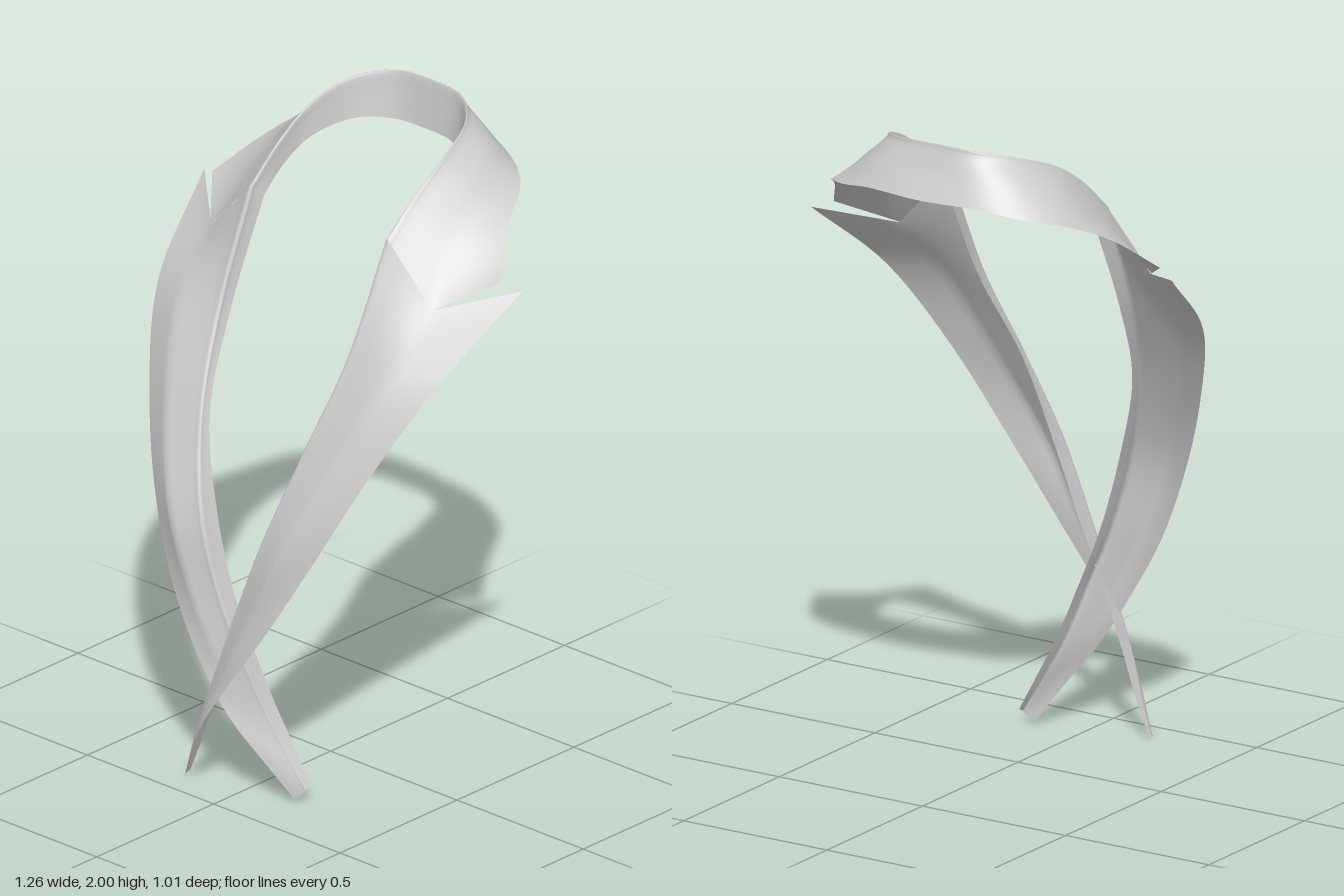
import * as THREE from 'three';

const V = (p, side = 1) => new THREE.Vector3(p[0] * side, p[1], p[2]);

// Cross-section from the hidden stand edge, around the soft fold, across the cloth to the outer edge
function section([stand, fold, mid, outer]) {
  const a = fold.clone().lerp(stand, 0.35);
  const b = fold.clone().lerp(mid, 0.14);
  const control = fold.clone().multiplyScalar(2).sub(a.clone().add(b).multiplyScalar(0.5));
  const roll = new THREE.QuadraticBezierCurve3(a, control, b).getPoints(8);
  const points = [stand, stand.clone().lerp(a, 0.5), ...roll];
  for (let i = 1; i <= 5; i++) points.push(b.clone().lerp(mid, i / 5));
  for (let i = 1; i <= 5; i++) points.push(mid.clone().lerp(outer, i / 5));
  return points;
}

// Cloth sheet lofted along four smooth rails
function cloth(name, rows, steps) {
  const rails = [0, 1, 2, 3].map(k => new THREE.CatmullRomCurve3(rows.map(r => r[k])));
  const positions = [], index = [];
  let n = 0;
  for (let i = 0; i <= steps; i++) {
    const pts = section(rails.map(r => r.getPoint(i / steps)));
    n = pts.length;
    pts.forEach(p => positions.push(p.x, p.y, p.z));
  }
  for (let i = 0; i < steps; i++) {
    for (let j = 0; j < n - 1; j++) {
      const a = i * n + j, b = a + n;
      index.push(a, b, a + 1, b, b + 1, a + 1);
    }
  }
  const g = new THREE.BufferGeometry();
  g.setAttribute('position', new THREE.Float32BufferAttribute(positions, 3));
  g.setIndex(index);
  g.computeVertexNormals();
  const mesh = new THREE.Mesh(g, new THREE.MeshStandardMaterial({ color: 0xcccccc, side: THREE.DoubleSide }));
  mesh.name = name;
  return mesh;
}

// Each row: stand edge, fold line, middle, outer edge
const lapelTop = [
  [[0.255, 1.70, 0.01], [0.27, 1.74, 0.05], [0.44, 1.56, 0.035], [0.63, 1.62, -0.14]],
  [[0.245, 1.40, 0.16], [0.255, 1.40, 0.205], [0.41, 1.38, 0.21], [0.55, 1.38, 0.145]],
  [[0.192, 1.12, 0.31], [0.2, 1.12, 0.34], [0.32, 1.10, 0.36], [0.43, 1.10, 0.31]],
];
const overlapEnd = [
  [[0.12, 0.85, 0.37], [0.125, 0.85, 0.43], [0.22, 0.84, 0.46], [0.315, 0.84, 0.41]],
  [[0.04, 0.62, 0.385], [0.045, 0.62, 0.45], [0.12, 0.61, 0.485], [0.19, 0.60, 0.475]],
  [[-0.02, 0.45, 0.40], [-0.02, 0.43, 0.46], [0.03, 0.42, 0.495], [0.06, 0.40, 0.50]],
  [[-0.09, 0.27, 0.40], [-0.09, 0.26, 0.45], [-0.07, 0.25, 0.48], [-0.04, 0.25, 0.50]],
  [[-0.15, 0.12, 0.39], [-0.15, 0.12, 0.42], [-0.145, 0.11, 0.44], [-0.13, 0.11, 0.455]],
  [[-0.195, 0.01, 0.39], [-0.195, 0.01, 0.40], [-0.195, 0.005, 0.41], [-0.19, 0, 0.42]],
];
const underlapEnd = [
  [[0.11, 0.85, 0.365], [0.12, 0.85, 0.42], [0.22, 0.84, 0.45], [0.315, 0.84, 0.405]],
  [[0.04, 0.62, 0.37], [0.05, 0.62, 0.42], [0.13, 0.61, 0.455], [0.205, 0.60, 0.445]],
  [[-0.015, 0.46, 0.35], [-0.01, 0.46, 0.40], [0.05, 0.44, 0.44], [0.1, 0.42, 0.455]],
  [[-0.08, 0.28, 0.32], [-0.07, 0.28, 0.36], [-0.03, 0.26, 0.40], [0, 0.25, 0.43]],
  [[-0.14, 0.15, 0.30], [-0.13, 0.15, 0.33], [-0.11, 0.13, 0.36], [-0.09, 0.12, 0.38]],
  [[-0.19, 0.05, 0.29], [-0.19, 0.04, 0.31], [-0.175, 0.015, 0.32], [-0.16, 0.01, 0.33]],
];
// Half the collar, from centre back to the notch
const collarHalf = [
  [[0, 1.855, -0.405], [0, 2.0, -0.43], [0, 1.925, -0.465], [0, 1.85, -0.51]],
  [[0.12, 1.855, -0.39], [0.13, 1.995, -0.415], [0.17, 1.925, -0.45], [0.2, 1.85, -0.49]],
  [[0.21, 1.85, -0.32], [0.225, 1.97, -0.33], [0.27, 1.91, -0.385], [0.31, 1.83, -0.45]],
  [[0.255, 1.82, -0.18], [0.265, 1.92, -0.2], [0.335, 1.87, -0.275], [0.4, 1.81, -0.38]],
  [[0.262, 1.76, -0.07], [0.27, 1.84, -0.07], [0.38, 1.75, -0.11], [0.48, 1.745, -0.24]],
  [[0.255, 1.70, 0.01], [0.27, 1.74, 0.05], [0.44, 1.56, 0.04], [0.57, 1.64, -0.11]],
];

export function createModel() {
  const group = new THREE.Group();
  group.name = 'coatCollar';
  const place = (rows, side) => rows.map(r => r.map(p => V(p, side)));

  // Lapels, the left one crossing over the right
  group.add(cloth('leftLapel', place([...lapelTop, ...overlapEnd], 1), 64));
  group.add(cloth('rightLapel', place([...lapelTop, ...underlapEnd], -1), 64));

  // Collar folded around the neck
  const rightHalf = place(collarHalf.slice(1), -1).reverse();
  group.add(cloth('collar', [...rightHalf, ...place(collarHalf, 1)], 80));
  return group;
}
